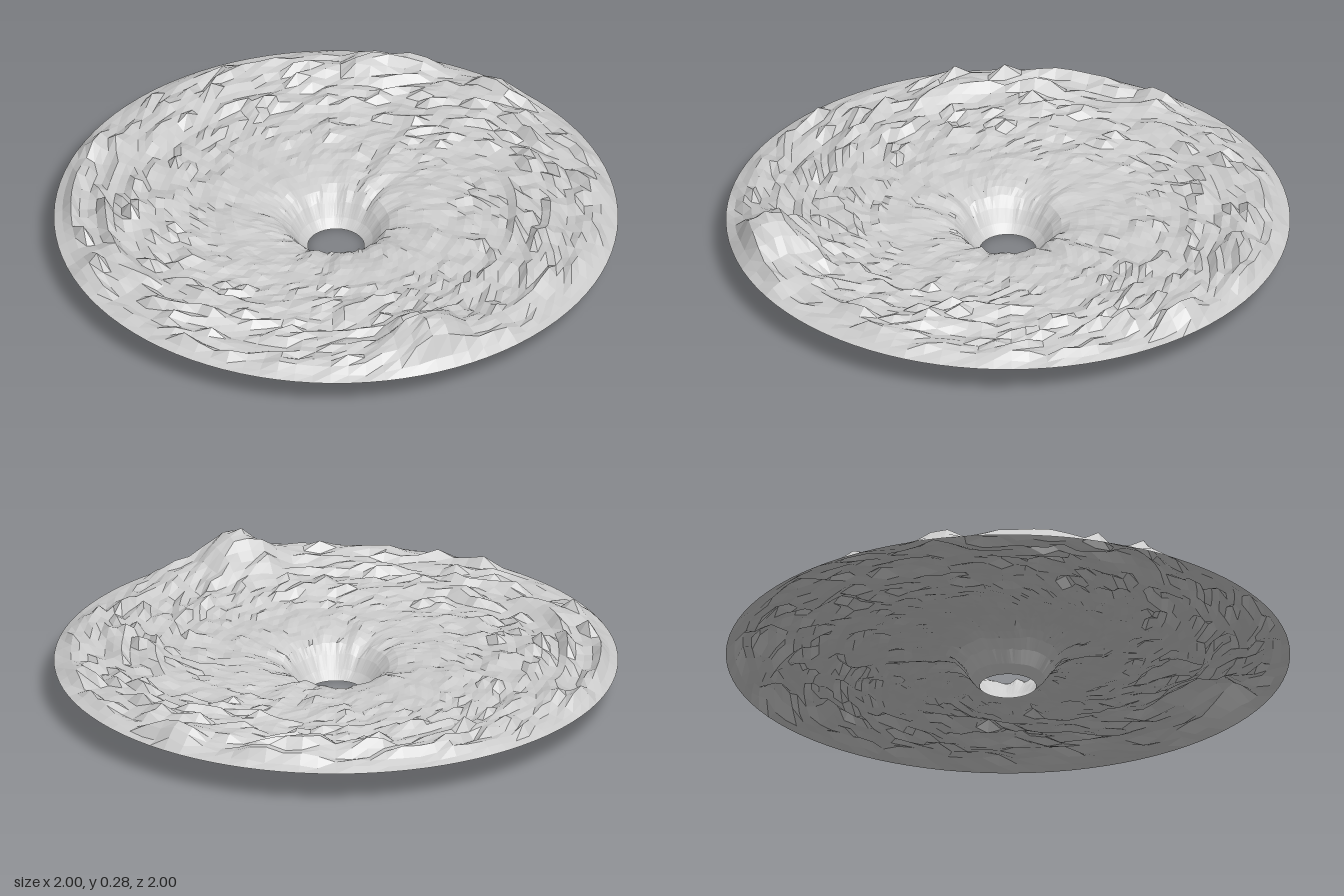
import * as THREE from 'three';

const SEGMENTS = 96, RINGS = 30, INNER = 0.1, OUTER = 1;

// Seeded hash in 0..1
function hash(i, j, seed) {
  let h = Math.imul(i + 101, 374761393) ^ Math.imul(j + 57, 668265263) ^ Math.imul(seed + 7, 1274126177);
  h = Math.imul(h ^ (h >>> 13), 1103515245);
  h = Math.imul(h ^ (h >>> 16), 2246822519);
  return ((h ^ (h >>> 15)) >>> 0) / 4294967296;
}

// Smooth value noise on the polar grid, wrapping round the ring
function noise(u, v, period, seed) {
  const i = Math.floor(u), j = Math.floor(v);
  const fade = t => t * t * (3 - 2 * t);
  const a = fade(u - i), b = fade(v - j);
  const at = (di, dj) => hash((i + di) % period, j + dj, seed);
  return THREE.MathUtils.lerp(
    THREE.MathUtils.lerp(at(0, 0), at(1, 0), a),
    THREE.MathUtils.lerp(at(0, 1), at(1, 1), a), b);
}

// Funnel cross-section: radius, height
const profile = [[0.1, 0], [0.13, 0.025], [0.16, 0.06], [0.19, 0.085], [0.23, 0.103],
  [0.3, 0.115], [0.42, 0.121], [0.6, 0.125], [1, 0.125]];

function baseHeight(r) {
  for (let k = 1; k < profile.length; k++) {
    const [r0, y0] = profile[k - 1], [r1, y1] = profile[k];
    if (r <= r1) return THREE.MathUtils.mapLinear(r, r0, r1, y0, y1);
  }
  return 0.125;
}

// Rim mountains: x, z, height, spread
const peaks = [[0.6, 0.64, 0.11, 0.1], [-0.17, -0.83, 0.06, 0.05], [0.3, -0.91, 0.06, 0.05],
  [-0.7, 0.6, 0.04, 0.06], [-0.93, -0.1, 0.03, 0.06]];

function terrainHeight(i, j, x, z, r) {
  const seg = i % SEGMENTS;
  const broad = noise(seg / 6, j / 4, SEGMENTS / 6, 1);
  const fine = noise(seg / 2, j / 1.5, SEGMENTS / 2, 2);
  const spike = Math.pow(hash(seg, j, 3), 4);
  const flute = noise(seg / 3, j / 8, SEGMENTS / 3, 4);
  const { smoothstep } = THREE.MathUtils;

  const grow = 0.12 + 0.88 * smoothstep(r, 0.25, 0.85);
  const edge = 1 - smoothstep(r, 0.93, 1);
  const throat = smoothstep(r, 0.1, 0.2);
  const fluteBand = throat * (1 - smoothstep(r, 0.25, 0.6));
  let y = baseHeight(r)
    + edge * throat * grow * (0.038 * broad * broad + 0.03 * fine * fine + 0.035 * spike)
    + fluteBand * 0.022 * flute
    + edge * throat * 0.01 * fine;
  for (const [px, pz, h, s] of peaks) {
    y += edge * h * Math.exp(-((x - px) ** 2 + (z - pz) ** 2) / (2 * s * s));
  }
  return y;
}

export function createModel() {
  const group = new THREE.Group();
  group.name = 'craterTerrain';

  // Flat ring raised into a rugged disc with a central funnel
  const ring = new THREE.RingGeometry(INNER, OUTER, SEGMENTS, RINGS);
  ring.rotateX(-Math.PI / 2);
  const pos = ring.attributes.position;
  for (let n = 0; n < pos.count; n++) {
    const i = n % (SEGMENTS + 1), j = Math.floor(n / (SEGMENTS + 1));
    const x = pos.getX(n), z = pos.getZ(n);
    pos.setY(n, terrainHeight(i, j, x, z, Math.hypot(x, z)));
  }
  const geometry = ring.toNonIndexed();
  geometry.computeVertexNormals();

  const material = new THREE.MeshStandardMaterial({
    color: 0xcccccc, flatShading: true, side: THREE.DoubleSide,
  });
  const terrain = new THREE.Mesh(geometry, material);
  terrain.name = 'terrainDisc';
  group.add(terrain);
  return group;
}
